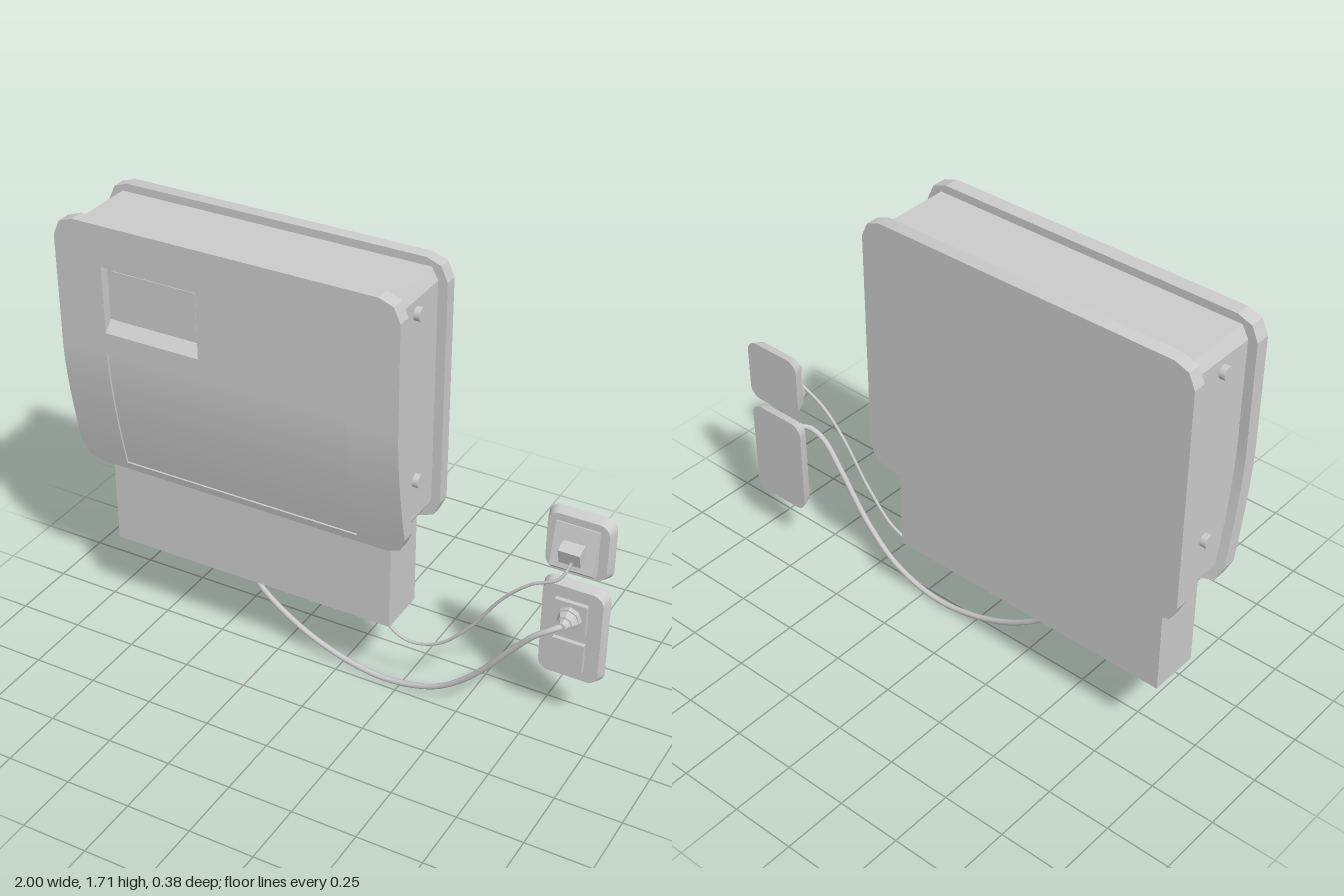
import * as THREE from 'three';
import { toCreasedNormals } from 'three/addons/utils/BufferGeometryUtils.js';

const mat = new THREE.MeshStandardMaterial({ color: 0xcccccc });
const X0 = -1, X1 = 0.34, Y0 = 0.7, Y1 = 1.71;

// How far the front leans back below the straight upper part
const bend = y => (y < 1.2 ? 0.08 * Math.pow((1.2 - y) / 0.5, 1.5) : 0);
// Side inset of the clipped corners, from the distance to the top or bottom edge
const cornerInset = d => (d >= 0.075 ? 0 : d >= 0.02 ? 0.025 * (0.075 - d) / 0.055 : 0.025 + 0.055 * (0.02 - d) / 0.02);
const inset = y => cornerInset(Math.min(y - Y0, Y1 - y));
const left = y => X0 + inset(y);
const right = y => X1 - inset(y);
const cornersLow = [Y0, Y0 + 0.02, Y0 + 0.075];
const cornersHigh = [Y1 - 0.075, Y1 - 0.02, Y1];
const curveRows = [0.84, 0.9, 0.96, 1.02, 1.08, 1.14, 1.2];

// Solid made of horizontal rows, each with its own left, right, front and back
function rowSolid(ys, xl, xr, zf, zb) {
  const n = ys.length - 1;
  const g = new THREE.BoxGeometry(1, 1, 1, 1, n, 1);
  const p = g.attributes.position;
  for (let i = 0; i < p.count; i++) {
    const y = ys[Math.round((p.getY(i) + 0.5) * n)];
    p.setXYZ(i, p.getX(i) < 0 ? xl(y) : xr(y), y, p.getZ(i) > 0 ? zf(y) : zb(y));
  }
  return toCreasedNormals(g, 0.4);
}

function rectPath(x0, y0, x1, y1) {
  return [[x0, y0], [x1, y0], [x1, y1], [x0, y1]].map(([x, y]) => new THREE.Vector2(x, y));
}

function add(parent, name, geometry, x = 0, y = 0, z = 0) {
  const m = new THREE.Mesh(geometry, mat);
  m.name = name;
  m.position.set(x, y, z);
  parent.add(m);
  return m;
}

function box(parent, name, x0, x1, y0, y1, z0, z1) {
  return add(parent, name, new THREE.BoxGeometry(x1 - x0, y1 - y0, z1 - z0),
    (x0 + x1) / 2, (y0 + y1) / 2, (z0 + z1) / 2);
}

// Wall plate with rounded corners, narrowing toward the front
function wallPlate(w, h) {
  const r = 0.045, s = new THREE.Shape(), d = 0.04;
  [[1, 1, 0], [-1, 1, 1], [-1, -1, 2], [1, -1, 3]].forEach(([sx, sy, q]) =>
    s.absarc(sx * (w / 2 - r), sy * (h / 2 - r), r, q * Math.PI / 2, (q + 1) * Math.PI / 2, false));
  const g = new THREE.ExtrudeGeometry(s, { depth: d, bevelEnabled: false, curveSegments: 4 });
  const p = g.attributes.position;
  for (let i = 0; i < p.count; i++) {
    if (p.getZ(i) > d / 2) p.setXY(i, p.getX(i) * (1 - 0.024 / w), p.getY(i) * (1 - 0.024 / h));
  }
  return toCreasedNormals(g, 0.5);
}

function cord(parent, name, points, radius) {
  const curve = new THREE.CatmullRomCurve3(points.map(p => new THREE.Vector3(...p)));
  add(parent, name, new THREE.TubeGeometry(curve, 64, radius, 8));
}

function makeCabinet() {
  const g = new THREE.Group();
  g.name = 'cabinet';
  const allRows = [...cornersLow, ...curveRows, ...cornersHigh];
  const zf = y => 0.19 - bend(y), zb = y => 0.135 - bend(y);

  add(g, 'backPlate', rowSolid([...cornersLow, ...cornersHigh], left, right, () => -0.14, () => -0.19));

  // Core between the two plates
  const core = rowSolid(allRows, y => left(y) + 0.035, y => right(y) - 0.035, y => 0.14 - bend(y), () => -0.145);
  const p = core.attributes.position;
  for (let i = 0; i < p.count; i++) p.setY(i, THREE.MathUtils.clamp(p.getY(i), Y0 + 0.035, Y1 - 0.03));
  add(g, 'core', toCreasedNormals(core, 0.4));

  // Flat upper front cover with the display opening
  const top = 1.22, ys = cornersHigh;
  const outline = [[X0, top], [X1, top], ...ys.map(y => [right(y), y]), ...[...ys].reverse().map(y => [left(y), y])];
  const shape = new THREE.Shape(outline.map(([x, y]) => new THREE.Vector2(x, y)));
  shape.holes.push(new THREE.Path(rectPath(-0.81, 1.3, -0.43, 1.555)));
  add(g, 'upperCover', new THREE.ExtrudeGeometry(shape, { depth: 0.055, bevelEnabled: false }), 0, 0, 0.135);

  // Curved lower cover around a slightly sunken door
  const sideRows = [...cornersLow, ...curveRows, top];
  const doorRows = [0.73, 0.78, ...curveRows, top];
  const dl = () => -0.81, dr = () => 0.15;
  add(g, 'lowerCoverRight', rowSolid(sideRows, left, dl, zf, zb));
  add(g, 'lowerCoverLeft', rowSolid(sideRows, dr, right, zf, zb));
  add(g, 'lowerCoverSill', rowSolid([Y0, 0.73], dl, dr, zf, zb));
  add(g, 'door', rowSolid(doorRows, dl, dr, y => zf(y) - 0.008, zb));

  // Display set into the opening, with a sloping sill
  box(g, 'displayFloor', -0.81, -0.43, 1.3, 1.555, 0.135, 0.155);
  box(g, 'displayScreen', -0.783, -0.453, 1.36, 1.53, 0.15, 0.158);
  add(g, 'displaySill', rowSolid([1.3, 1.34], dl, () => -0.43, y => (y < 1.32 ? 0.19 : 0.155), () => 0.14));
  add(g, 'displayHood', rowSolid([1.54, 1.555], dl, () => -0.43, y => (y > 1.55 ? 0.19 : 0.155), () => 0.14));

  // Side screws
  for (const [x, side] of [[X0 + 0.03, 'right'], [X1 - 0.03, 'left']]) {
    for (const [y, z] of [[1.585, 0.01], [0.935, -0.01]]) {
      add(g, side + 'Screw', new THREE.CylinderGeometry(0.025, 0.025, 0.035, 16), x, y, z).rotation.z = Math.PI / 2;
    }
  }

  box(g, 'cableBox', -0.915, 0.25, 0.33, 0.76, -0.14, 0.055);
  return g;
}

function makeOutlets() {
  const g = new THREE.Group();
  g.name = 'wallOutlets';
  const cx = 0.87;

  // Data outlet with a wedge housing and a small plug
  add(g, 'dataPlate', wallPlate(0.25, 0.25), cx, 0.785, -0.155);
  const wedge = new THREE.Shape([[0.12, 0.87], [0.12, 0.695], [0.085, 0.7], [0.07, 0.715], [0.11, 0.87]]
    .map(([x, y]) => new THREE.Vector2(x, y)));
  const housing = add(g, 'dataHousing',
    new THREE.ExtrudeGeometry(wedge, { depth: 0.16, bevelEnabled: false }), cx - 0.08);
  housing.geometry.scale(-1, 1, -1).rotateY(-Math.PI / 2);
  housing.geometry.computeBoundingBox();
  const b = housing.geometry.boundingBox;
  housing.position.x = cx - (b.min.x + b.max.x) / 2;
  housing.position.z = -0.12 - b.min.z;
  const plug = add(g, 'dataPlug', new THREE.BoxGeometry(0.08, 0.06, 0.05), cx, 0.782, -0.072);
  plug.rotation.x = 0.3;

  // Power outlet with two sockets and a stepped plug
  add(g, 'powerPlate', wallPlate(0.25, 0.4), cx, 0.42, -0.155);
  for (const y of [0.5, 0.335]) box(g, 'socket', cx - 0.06, cx + 0.06, y - 0.06, y + 0.06, -0.13, -0.098);
  [[0.045, 0.045, -0.1, -0.078], [0.028, 0.04, -0.078, -0.055], [0.016, 0.022, -0.055, -0.03]].forEach(([rf, rb, z0, z1]) => {
    add(g, 'powerPlug', toCreasedNormals(new THREE.CylinderGeometry(rf, rb, z1 - z0, 8), 0.3),
      cx, 0.5, (z0 + z1) / 2).rotation.x = Math.PI / 2;
  });
  return g;
}

export function createModel() {
  const model = new THREE.Group();
  model.name = 'wallUnit';
  model.add(makeCabinet(), makeOutlets());

  cord(model, 'powerCord', [
    [-0.38, 0.34, -0.045], [-0.36, 0.26, -0.042], [-0.2, 0.13, -0.038], [0, 0.044, -0.034], [0.2, 0.016, -0.03],
    [0.4, 0.065, -0.022], [0.55, 0.18, -0.012], [0.7, 0.36, 0], [0.79, 0.46, 0.004], [0.85, 0.497, -0.015], [0.87, 0.5, -0.045],
  ], 0.011);
  cord(model, 'dataCord', [
    [0.19, 0.34, -0.03], [0.205, 0.27, -0.03], [0.28, 0.226, -0.03], [0.4, 0.255, -0.03], [0.52, 0.37, -0.027],
    [0.65, 0.55, -0.025], [0.75, 0.645, -0.023], [0.85, 0.7, -0.028], [0.88, 0.765, -0.06],
  ], 0.006);
  return model;
}
